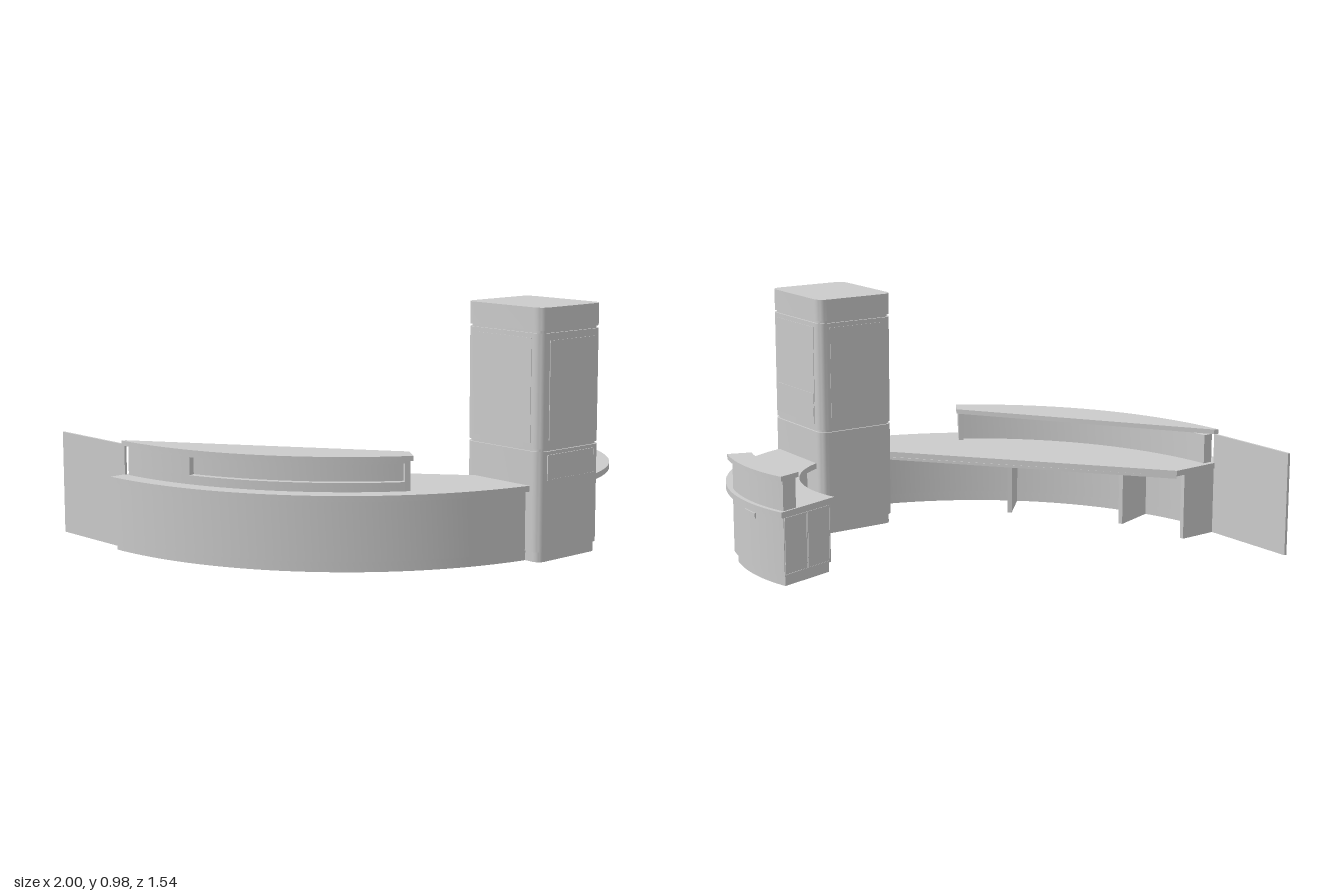
import * as THREE from 'three';
import { toCreasedNormals } from 'three/addons/utils/BufferGeometryUtils.js';

const material = new THREE.MeshStandardMaterial({ color: 0xcccccc, side: THREE.DoubleSide });
const deg = Math.PI / 180;

// Plan centres [x, z] of the two curved counters
const BIG = [0.28, -0.58];
const SMALL = [0.285, 0.027];

// Points on an arc in plan; 0 degrees is +x, 90 degrees is +z
function arc([cx, cz], r, a0, a1, n = 32) {
  return Array.from({ length: n + 1 }, (_, i) => {
    const a = (a0 + ((a1 - a0) * i) / n) * deg;
    return [cx + r * Math.cos(a), cz + r * Math.sin(a)];
  });
}

// Plan outline of a curved band
function band(c, r0, r1, a0, a1, n) {
  return [...arc(c, r1, a0, a1, n), ...arc(c, r0, a1, a0, n)];
}

// Plan outline of a rounded rectangle
function rounded(w, d, r) {
  const x = w / 2 - r, z = d / 2 - r;
  return [[x, z, 0], [-x, z, 90], [-x, -z, 180], [x, -z, 270]]
    .flatMap(([cx, cz, a]) => arc([cx, cz], r, a, a + 90, 8));
}

// Raise a plan outline [x, z] from y0 to y1
function slab(parent, name, outline, y0, y1) {
  const shape = new THREE.Shape(outline.map(([x, z]) => new THREE.Vector2(x, -z)));
  const geo = new THREE.ExtrudeGeometry(shape, { depth: y1 - y0, bevelEnabled: false });
  geo.rotateX(-Math.PI / 2).translate(0, y0, 0);
  const mesh = new THREE.Mesh(toCreasedNormals(geo, 0.5), material);
  mesh.name = name;
  parent.add(mesh);
  return mesh;
}

function box(parent, name, w, h, d, x, y, z) {
  const mesh = new THREE.Mesh(new THREE.BoxGeometry(w, h, d), material);
  mesh.name = name;
  mesh.position.set(x, y, z);
  parent.add(mesh);
  return mesh;
}

// Four thin bars around a rectangle, lying in the xy plane
function frame(parent, name, w, h, x, y, z, t = 0.004) {
  const g = new THREE.Group();
  g.name = name;
  for (const s of [-1, 1]) {
    box(g, 'frameRail', w, t, t, x, y + (s * h) / 2, z);
    box(g, 'frameStile', t, h, t, x + (s * w) / 2, y, z);
  }
  parent.add(g);
}

function group(parent, name) {
  const g = new THREE.Group();
  g.name = name;
  parent.add(g);
  return g;
}

function buildTower(root) {
  const tower = group(root, 'tower');
  tower.position.set(0.375, 0, 0.55);
  tower.rotation.y = 0.125;
  const W = 0.345, D = 0.4;
  // Stacked sections separated by shadow gaps
  slab(tower, 'towerCore', rounded(W - 0.016, D - 0.016, 0.032), 0, 0.96);
  [['towerBase', 0.04, 0.428], ['towerShaft', 0.438, 0.878], ['towerCap', 0.888, 0.975]]
    .forEach(([name, y0, y1]) => slab(tower, name, rounded(W, D, 0.04), y0, y1));
  // Front panels and trim
  box(tower, 'frontPanel', 0.25, 0.38, 0.006, 0, 0.66, D / 2);
  box(tower, 'frontLowerPanel', 0.26, 0.095, 0.006, 0, 0.365, D / 2);
  frame(tower, 'frontLowerFrame', 0.26, 0.095, 0, 0.365, D / 2 + 0.002);
  // Side and back panels
  for (const s of [-1, 1]) {
    box(tower, 'sidePanel', 0.004, 0.4, 0.3, s * W / 2, 0.66, 0);
  }
  box(tower, 'sideDisplay', 0.008, 0.095, 0.29, W / 2, 0.538, 0);
  box(tower, 'backPanel', 0.25, 0.4, 0.004, 0, 0.66, -D / 2);
}

function buildBigCounter(root) {
  const g = group(root, 'longCounter');
  // Desk top: curved front edge, straight back edge
  slab(g, 'longCountertop', [...arc(BIG, 1.3, 170, 90, 48), [0.28, 0.52], [-0.715, -0.41]], 0.272, 0.295);
  slab(g, 'backEdgeStrip', [[-0.715, -0.41], [-0.7, -0.375], [0.2, 0.45], [0.2, 0.44]], 0.262, 0.273);
  slab(g, 'longFrontPanel', band(BIG, 1.255, 1.28, 90, 170, 48), 0.04, 0.272);
  slab(g, 'longPlinth', band(BIG, 1.255, 1.274, 90, 170, 48), 0, 0.04);
  // Radial support panels
  for (const a of [169.4, 152, 125]) {
    slab(g, 'supportPanel', band(BIG, 1.06, 1.26, a - 0.5, a + 0.5, 1), 0, 0.272);
  }
  // Raised transaction shelf with a long recess in its front
  const h = group(g, 'raisedShelf');
  slab(h, 'raisedShelfTop', [...arc(BIG, 1.247, 169.8, 113.2, 36), [-0.17, 0.48], [-0.93, -0.355]], 0.413, 0.432);
  slab(h, 'raisedShelfBackWall', band(BIG, 1.185, 1.2, 114.5, 169, 36), 0.295, 0.413);
  slab(h, 'raisedShelfLowerWall', band(BIG, 1.2, 1.228, 114.5, 169, 36), 0.295, 0.33);
  slab(h, 'raisedShelfUpperWall', band(BIG, 1.2, 1.228, 114.5, 169, 36), 0.4, 0.413);
  slab(h, 'raisedShelfOuterWall', band(BIG, 1.2, 1.228, 154, 169, 12), 0.33, 0.4);
  slab(h, 'raisedShelfEndWall', band(BIG, 1.155, 1.228, 113.5, 114.5, 1), 0.295, 0.413);
  // Tall screen beside the far end
  slab(root, 'sideScreen', [[-1, -0.775], [-0.99, -0.775], [-0.925, -0.362], [-0.935, -0.36]], 0, 0.415);
}

function buildSmallCounter(root) {
  const g = group(root, 'shortCounter');
  slab(g, 'shortCountertop', band(SMALL, 0.425, 0.715, -24.5, 72, 40), 0.272, 0.295);
  slab(g, 'shortFrontPanel', band(SMALL, 0.495, 0.515, 8, 68, 28), 0.04, 0.272);
  // Curved cabinet at the open end
  slab(g, 'cabinet', band(SMALL, 0.445, 0.697, -23.8, 10.7, 16), 0.04, 0.272);
  slab(g, 'cabinetPlinth', band(SMALL, 0.45, 0.685, -23, 9.8, 16), 0, 0.04);
  slab(g, 'drawerPull', band(SMALL, 0.69, 0.702, -10, -3, 4), 0.235, 0.255);
  const a = -24 * deg;
  const door = group(g, 'cabinetDoors');
  door.position.set(SMALL[0] + 0.571 * Math.cos(a), 0, SMALL[1] + 0.571 * Math.sin(a));
  door.rotation.y = -a;
  for (const s of [-1, 1]) frame(door, 'doorFrame', 0.118, 0.22, s * 0.062, 0.156, 0.001, 0.003);
  // Small raised shelf
  const h = group(g, 'smallRaisedShelf');
  slab(h, 'smallShelfTop', band(SMALL, 0.62, 0.715, -24.5, 10.7, 16), 0.413, 0.432);
  slab(h, 'smallShelfWall', band(SMALL, 0.68, 0.697, -23.8, 10, 16), 0.295, 0.413);
  for (const e of [-23, 9]) {
    slab(h, 'smallShelfEnd', band(SMALL, 0.63, 0.69, e - 0.8, e + 0.8, 1), 0.295, 0.413);
  }
}

export function createModel() {
  const root = new THREE.Group();
  root.name = 'receptionDesk';
  buildTower(root);
  buildBigCounter(root);
  buildSmallCounter(root);
  return root;
}
